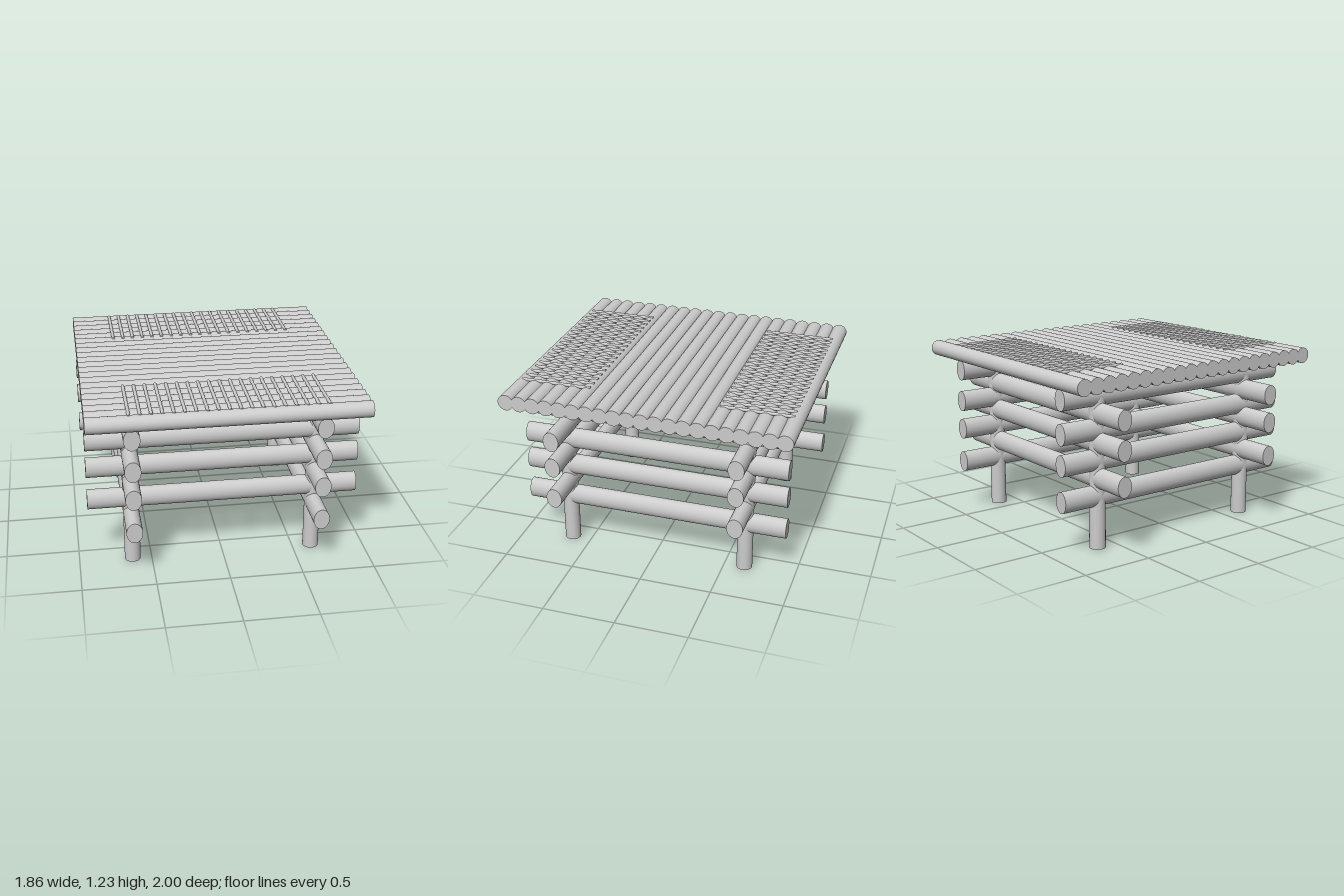
import * as THREE from 'three';

const wood = new THREE.MeshStandardMaterial({ color: 0xcccccc });
wood.name = 'pale grey wood';

// Round log along 'x', 'y' or 'z'; rw and rh are its half width and half height
function log(name, axis, length, rw, rh, x, y, z) {
  const g = new THREE.CylinderGeometry(1, 1, length, 40);
  if (axis === 'x') g.rotateZ(Math.PI / 2).scale(1, rh, rw);
  else if (axis === 'z') g.rotateX(Math.PI / 2).scale(rw, rh, 1);
  else g.scale(rw, 1, rh);
  const mesh = new THREE.Mesh(g, wood);
  mesh.name = name;
  mesh.position.set(x, y, z);
  return mesh;
}

export function createModel() {
  const model = new THREE.Group();
  model.name = 'logShelter';

  // Corner posts
  const posts = new THREE.Group();
  posts.name = 'posts';
  for (const sx of [-1, 1])
    for (const sz of [-1, 1])
      posts.add(log('post', 'y', 1.03, 0.055, 0.055, sx * 0.632, 0.515, sz * 0.64));

  // Stacked wall logs, alternating in direction
  const walls = new THREE.Group();
  walls.name = 'wallLogs';
  for (const s of [-1, 1]) {
    for (const y of [0.362, 0.607, 0.813, 1.04])
      walls.add(log('sideLog', 'z', 1.86, 0.055, 0.073, s * 0.632, y, 0));
    for (const y of [0.484, 0.723, 0.921])
      walls.add(log('crossLog', 'x', 1.856, 0.055, 0.071, 0, y, s * 0.637));
  }

  // Flat roof of parallel logs
  const roof = new THREE.Group();
  roof.name = 'roof';
  for (let i = 0; i < 21; i++)
    roof.add(log('roofLog', 'x', 1.856, 0.055, 0.055, 0, 1.169, (i - 10) * 0.0945));

  // Thin rods laid across the roof near the front and back
  const rods = new THREE.Group();
  rods.name = 'roofRods';
  for (const s of [-1, 1])
    for (let i = 0; i < 19; i++)
      rods.add(log('rod', 'z', 0.495, 0.011, 0.011, (i - 9) * 0.072, 1.219, s * 0.698));

  model.add(posts, walls, roof, rods);
  return model;
}
